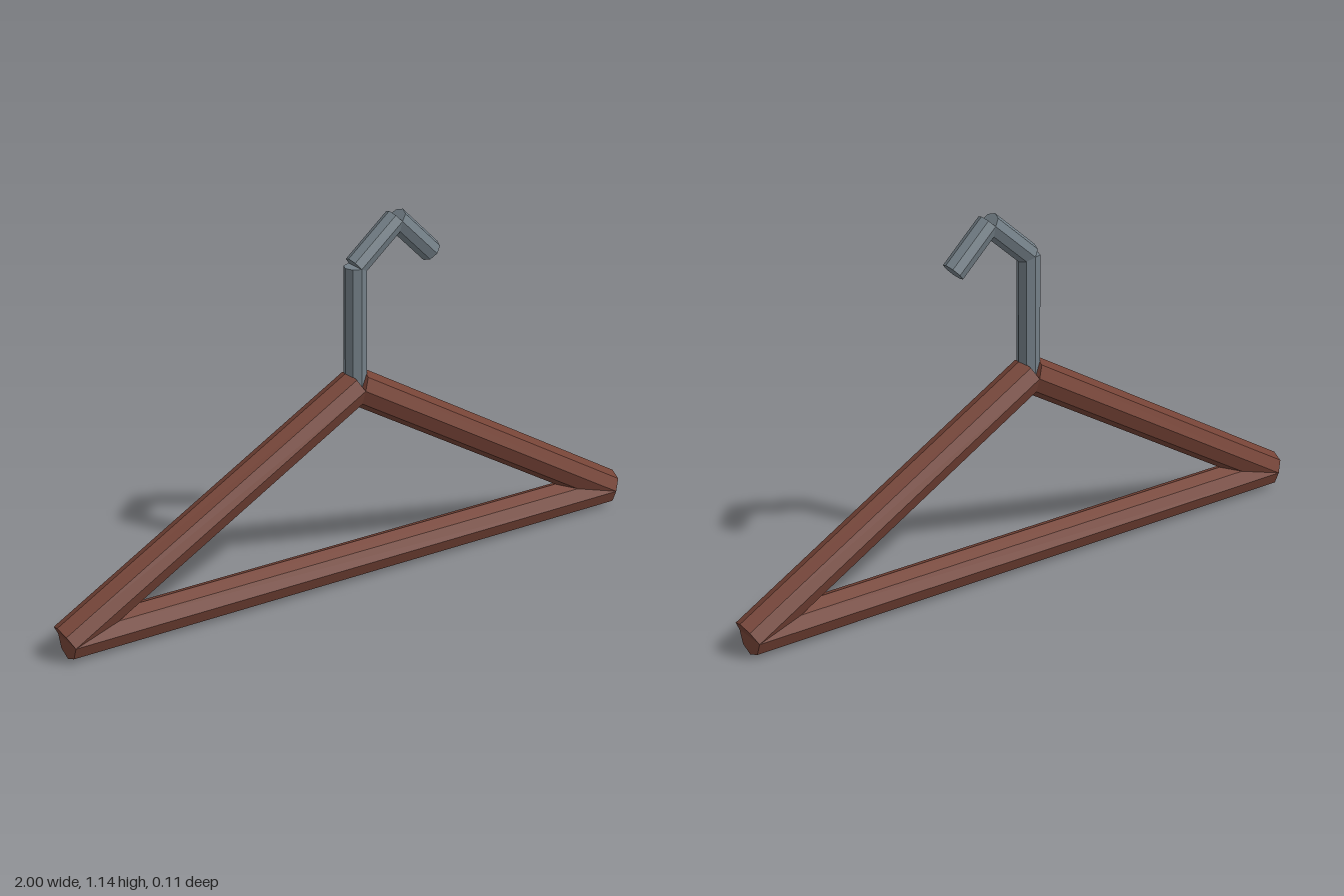
import * as THREE from 'three';

const wood = new THREE.MeshStandardMaterial({ color: 0x754336, flatShading: true });
wood.name = 'brown wood';
const metal = new THREE.MeshStandardMaterial({ color: 0x737f87, flatShading: true });
metal.name = 'grey metal';

// Eight-sided rod between two points in the XY plane
function rod(name, [x1, y1], [x2, y2], radius, material) {
  const dx = x2 - x1, dy = y2 - y1;
  const mesh = new THREE.Mesh(
    new THREE.CylinderGeometry(radius, radius, Math.hypot(dx, dy), 8), material);
  mesh.name = name;
  mesh.position.set((x1 + x2) / 2, (y1 + y2) / 2, 0);
  mesh.rotation.z = Math.atan2(-dx, dy);
  return mesh;
}

export function createModel() {
  const hanger = new THREE.Group();
  hanger.name = 'coatHanger';

  // Wooden triangle
  const r = 0.056, halfWidth = 0.972, apex = [0, 0.62];
  hanger.add(rod('bottomBar', [-halfWidth, r], [halfWidth, r], r, wood));
  for (const [name, side] of [['leftArm', 1], ['rightArm', -1]]) {
    hanger.add(rod(name, [side * halfWidth, r], apex, r, wood));
  }

  // Bent metal hook in three straight pieces
  const hook = new THREE.Group();
  hook.name = 'hook';
  const path = [apex, [0, 0.99], [0.14, 1.11], [0.264, 0.99]];
  ['hookStem', 'hookRise', 'hookTip'].forEach((name, i) =>
    hook.add(rod(name, path[i], path[i + 1], 0.035, metal)));
  hanger.add(hook);

  return hanger;
}
